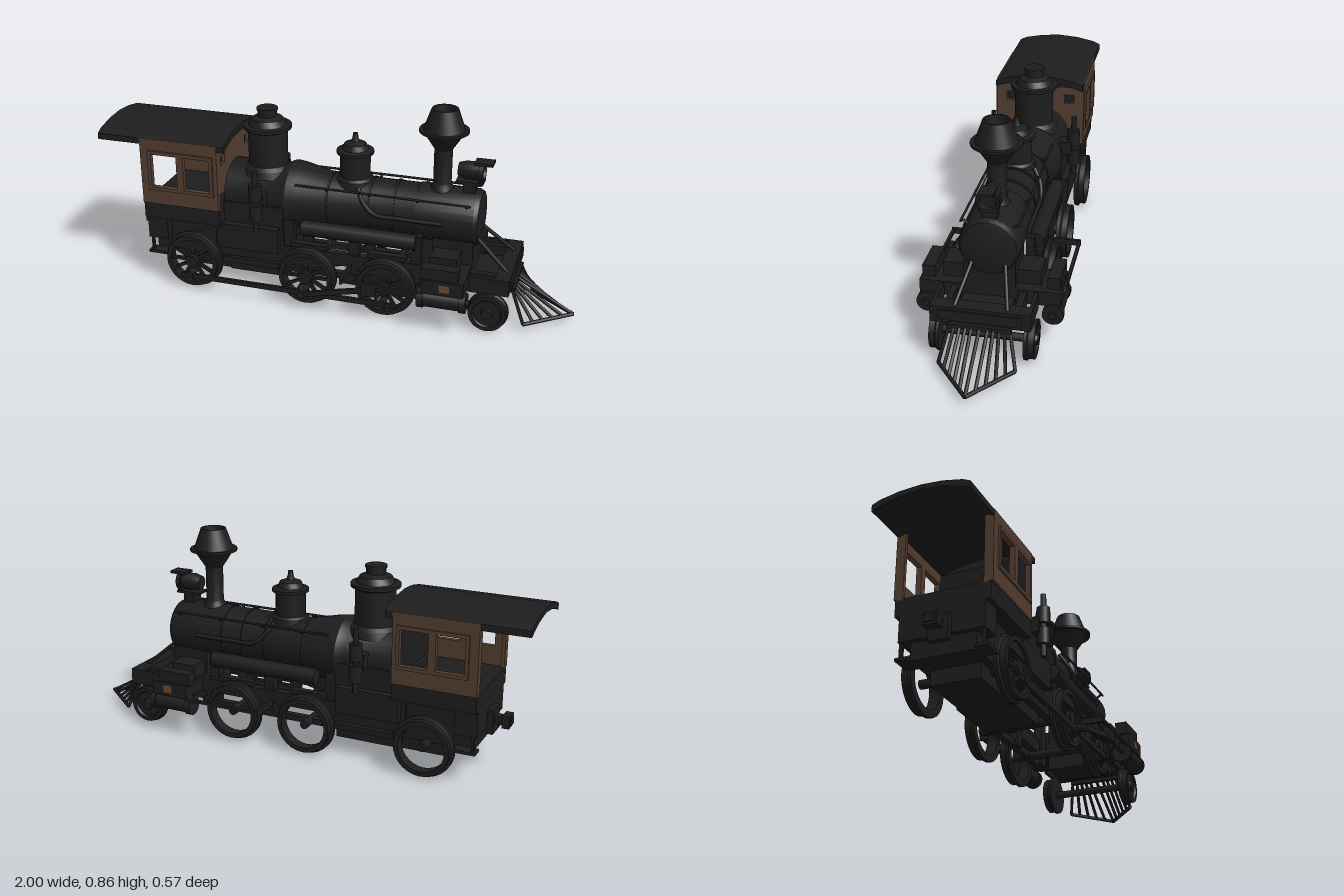
import * as THREE from 'three';
import { toCreasedNormals } from 'three/addons/utils/BufferGeometryUtils.js';

export function createModel() {
  const iron = new THREE.MeshStandardMaterial({ color: 0x1d1d1d });
  iron.name = 'black iron';
  const wood = new THREE.MeshStandardMaterial({ color: 0x523d30 });
  wood.name = 'brown wood';
  const brass = new THREE.MeshStandardMaterial({ color: 0x6a472e });
  brass.name = 'dull brass';
  const model = new THREE.Group();
  model.name = 'steamLocomotive';
  const V = (x, y, z) => new THREE.Vector3(x, y, z);

  function add(name, geo, x = 0, y = 0, z = 0, mat = iron) {
    const m = new THREE.Mesh(geo, mat);
    m.name = name;
    m.position.set(x, y, z);
    model.add(m);
    return m;
  }
  // box given by its lower and upper limits
  const box = (name, x0, x1, y0, y1, z0, z1, mat) =>
    add(name, new THREE.BoxGeometry(x1 - x0, y1 - y0, Math.abs(z1 - z0)), (x0 + x1) / 2, (y0 + y1) / 2, (z0 + z1) / 2, mat);
  // round bar between two points
  function rod(name, a, b, r, seg = 8) {
    const d = b.clone().sub(a);
    const m = add(name, new THREE.CylinderGeometry(r, r, d.length(), seg));
    m.position.copy(a).addScaledVector(d, 0.5);
    m.quaternion.setFromUnitVectors(V(0, 1, 0), d.normalize());
  }
  // turned profile of [radius, height] points around y
  const turned = (pts, seg = 24) => toCreasedNormals(
    new THREE.LatheGeometry(pts.map(p => new THREE.Vector2(p[0], p[1])), seg), 0.5);
  // flat beam between two points in a plane of constant z
  function beam(name, x0, y0, x1, y1, z, h, d) {
    const m = add(name, new THREE.BoxGeometry(Math.hypot(x1 - x0, y1 - y0), h, d), (x0 + x1) / 2, (y0 + y1) / 2, z);
    m.rotation.z = Math.atan2(y1 - y0, x1 - x0);
  }
  const rectHole = (x0, x1, y0, y1) =>
    new THREE.Path([[x0, y0], [x0, y1], [x1, y1], [x1, y0]].map(p => new THREE.Vector2(...p)));
  const polygon = pts => new THREE.Shape(pts.map(p => new THREE.Vector2(...p)));
  const extrude = (shape, depth) => new THREE.ExtrudeGeometry(shape, { depth, bevelEnabled: false });

  // boiler, bands and smokebox door
  add('boiler', turned([[0, -0.48], [0.13, -0.48], [0.13, -0.24], [0.147, -0.2], [0.142, -0.16], [0.113, -0.03],
    [0.113, 0.34], [0.117, 0.34], [0.117, 0.58], [0.108, 0.597], [0.1, 0.6], [0, 0.604]], 28).rotateZ(-Math.PI / 2), 0, 0.41);
  for (const x of [-0.03, 0.145, 0.25, 0.35])
    add('boilerBand', new THREE.CylinderGeometry(0.117, 0.117, 0.012, 28).rotateZ(Math.PI / 2), x, 0.41);

  // chimney and domes
  add('chimney', turned([[0.055, 0.5], [0.045, 0.53], [0.037, 0.545], [0.037, 0.69], [0.06, 0.725], [0.083, 0.762], [0.1, 0.762],
    [0.1, 0.772], [0.084, 0.772], [0.053, 0.858], [0.045, 0.858], [0.04, 0.8], [0, 0.8]]), 0.43);
  add('steamDome', turned([[0.11, 0.5], [0.1, 0.53], [0.083, 0.545], [0.083, 0.69], [0.101, 0.698], [0.101, 0.712], [0.08, 0.715],
    [0.065, 0.74], [0.04, 0.75], [0.04, 0.775], [0.044, 0.775], [0.044, 0.785], [0, 0.785]]), -0.315);
  add('sandDome', turned([[0.08, 0.49], [0.075, 0.52], [0.063, 0.53], [0.063, 0.625], [0.077, 0.63], [0.077, 0.642], [0.055, 0.648],
    [0.045, 0.67], [0.018, 0.68], [0.012, 0.695], [0.01, 0.715], [0, 0.718]]), 0.065);

  // headlight
  add('headlight', turned([[0, 0], [0.028, 0], [0.037, 0.03], [0.037, 0.085], [0.045, 0.085], [0.045, 0.105],
    [0.036, 0.105], [0.032, 0.09], [0, 0.085]], 20).rotateZ(-Math.PI / 2), 0.495, 0.61);
  box('headlightVisor', 0.56, 0.635, 0.643, 0.654, -0.03, 0.03);
  box('headlightShelf', 0.49, 0.6, 0.562, 0.572, -0.035, 0.035);
  box('headlightBracket', 0.52, 0.57, 0.5, 0.565, -0.03, 0.03);

  // cab walls
  const side = polygon([[-0.81, 0.375], [-0.467, 0.375], [-0.467, 0.665], [-0.81, 0.665]]);
  const frame = polygon([[-0.775, 0.44], [-0.485, 0.44], [-0.485, 0.615], [-0.775, 0.615]]);
  for (const s of [side, frame])
    s.holes.push(rectHole(-0.76, -0.645, 0.455, 0.6), rectHole(-0.615, -0.5, 0.455, 0.6));
  const front = polygon([[-0.182, 0.445], [0.182, 0.445], [0.182, 0.64], [-0.182, 0.64]]);
  front.holes.push(rectHole(0.11, 0.152, 0.565, 0.605), rectHole(-0.152, -0.11, 0.565, 0.605));
  add('cabFrontWall', extrude(front, 0.015).rotateY(Math.PI / 2), -0.482, 0, 0, wood);
  box('cabFrontSkirt', -0.482, -0.467, 0.37, 0.445, -0.182, 0.182);
  box('cabFrontLining', -0.492, -0.482, 0.37, 0.64, -0.182, 0.182);
  for (const s of [1, -1]) {
    add('cabSideWall', extrude(side, 0.015), 0, 0, s > 0 ? 0.182 : -0.197, wood);
    add('cabWindowFrame', extrude(frame, 0.008), 0, 0, s > 0 ? 0.197 : -0.205, wood);
    box('cabRearPost', -0.81, -0.795, 0.37, 0.65, s * 0.16, s * 0.182, wood);
  }

  // arched roof with a long rear overhang, closed by a gable at the front
  const arch = polygon([[-0.195, 0.638], [-0.1, 0.668], [0, 0.68], [0.1, 0.668], [0.195, 0.638],
    [0.195, 0.664], [0.165, 0.678], [0.085, 0.694], [0, 0.7], [-0.085, 0.694], [-0.165, 0.678], [-0.195, 0.664]]);
  add('cabRoof', extrude(arch, 0.565).rotateY(Math.PI / 2), -1);
  const gable = polygon([[-0.182, 0.64], [0.182, 0.64], [0.165, 0.668], [0, 0.69], [-0.165, 0.668]]);
  add('cabGable', extrude(gable, 0.02).rotateY(Math.PI / 2), -0.486);

  // cab floor, rear frame and coupler
  box('cabFloor', -0.81, -0.467, 0.305, 0.375, -0.19, 0.19);
  box('rearFrame', -0.79, -0.45, 0.13, 0.31, -0.13, 0.13);
  box('rearLowerFrame', -0.69, -0.45, 0.07, 0.14, -0.1, 0.1);
  box('rearBeam', -0.81, -0.72, 0.2, 0.31, -0.17, 0.17);
  box('couplerPlate', -0.835, -0.81, 0.17, 0.27, -0.04, 0.04);
  box('coupler', -0.9, -0.83, 0.21, 0.24, -0.02, 0.02);
  box('couplerHead', -0.895, -0.865, 0.2, 0.25, -0.03, 0.03);

  // firebox and ash pan
  box('firebox', -0.51, -0.205, 0.15, 0.4, -0.14, 0.14);
  box('fireboxSideTank', -0.49, -0.22, 0.2, 0.31, -0.17, 0.17);
  box('ashPan', -0.46, -0.2, 0.07, 0.2, -0.11, 0.11);

  // cylinder saddle and pilot deck
  box('cylinderSaddle', 0.42, 0.585, 0.12, 0.34, -0.1, 0.1);
  box('saddleBeam', 0.42, 0.585, 0.18, 0.24, -0.274, 0.274);
  box('pilotBeam', 0.69, 0.75, 0.17, 0.237, -0.19, 0.19);
  box('pilotBeamPlate', 0.75, 0.757, 0.185, 0.225, -0.157, 0.157);
  box('pilotDeck', 0.58, 0.7, 0.16, 0.2, -0.1, 0.1);

  // wheels
  const tyre = turned([[0.096, 0.16], [0.127, 0.16], [0.127, 0.175], [0.115, 0.18], [0.115, 0.205], [0.096, 0.205], [0.096, 0.16]], 28)
    .rotateX(Math.PI / 2);
  const pilotWheel = turned([[0, 0.16], [0.083, 0.16], [0.083, 0.172], [0.076, 0.177], [0.076, 0.2], [0.06, 0.2], [0.055, 0.192],
    [0.025, 0.192], [0.022, 0.205], [0, 0.205]], 24).rotateX(Math.PI / 2);
  const weight = extrude(new THREE.Shape().absarc(0, 0, 0.1, 0.55, Math.PI - 0.55), 0.02);
  const wheelY = 0.128;
  for (const x of [-0.6, -0.09, 0.245]) {
    rod('axle', V(x, wheelY, -0.19), V(x, wheelY, 0.2), 0.018, 12);
    for (const s of [1, -1]) add('drivingWheelTyre', tyre, x, wheelY, 0).rotation.y = s > 0 ? 0 : Math.PI;
    rod('wheelHub', V(x, wheelY, 0.165), V(x, wheelY, 0.21), 0.028, 16);
    for (let i = 0; i < 12; i++) {
      const a = (i * Math.PI) / 6;
      beam('wheelSpoke', x + 0.02 * Math.cos(a), wheelY + 0.02 * Math.sin(a),
        x + 0.1 * Math.cos(a), wheelY + 0.1 * Math.sin(a), 0.185, 0.013, 0.014);
    }
    add('wheelCounterweight', weight, x, wheelY, 0.176);
    rod('crankPin', V(x, 0.078, 0.18), V(x, 0.078, x === -0.09 ? 0.265 : 0.235), 0.016, 12);
  }
  for (const s of [1, -1]) add('pilotWheel', pilotWheel, 0.67, 0.085, 0).rotation.y = s > 0 ? 0 : Math.PI;
  rod('pilotAxle', V(0.67, 0.085, -0.17), V(0.67, 0.085, 0.17), 0.016, 12);

  // rods on the left side
  beam('couplingRod', -0.64, 0.072, 0.285, 0.072, 0.225, 0.022, 0.012);
  beam('mainRod', -0.1, 0.078, 0.2, 0.147, 0.255, 0.022, 0.012);
  beam('pistonRod', 0.2, 0.147, 0.42, 0.147, 0.25, 0.014, 0.014);
  box('crosshead', 0.17, 0.23, 0.125, 0.175, 0.243, 0.272);

  for (const s of [1, -1]) {
    // cylinders, valve chests and guides
    add('steamCylinder', turned([[0, 0.4], [0.042, 0.4], [0.042, 0.425], [0.036, 0.425], [0.036, 0.57], [0.042, 0.57],
      [0.042, 0.595], [0.015, 0.595], [0.015, 0.605], [0, 0.605]], 20).rotateZ(-Math.PI / 2), 0, 0.147, s * 0.245);
    box('valveChest', 0.41, 0.56, 0.235, 0.288, s * 0.218, s * 0.268);
    box('chestPipe', 0.43, 0.54, 0.235, 0.3, s * 0.1, s * 0.19);
    box('cylinderPlate', 0.488, 0.53, 0.195, 0.228, s * 0.274, s * 0.277, brass);
    box('slideBar', 0.08, 0.42, 0.172, 0.184, s * 0.262, s * 0.276);
    box('guideYoke', 0.08, 0.092, 0.165, 0.19, s * 0.12, s * 0.276);
    // bar frame and hangers
    box('upperFrameBar', -0.5, 0.6, 0.175, 0.23, s * 0.11, s * 0.14);
    box('lowerFrameBar', -0.5, 0.42, 0.115, 0.14, s * 0.11, s * 0.14);
    for (const x of [-0.18, 0.1, 0.36]) box('frameHanger', x - 0.022, x + 0.022, 0.12, 0.35, s * 0.1, s * 0.135);
    for (const x of [-0.09, 0.245]) box('wheelSpring', x - 0.08, x + 0.08, 0.24, 0.26, s * 0.125, s * 0.155);
    // air tank under the boiler
    rod('airTank', V(-0.12, 0.325, s * 0.135), V(0.36, 0.325, s * 0.135), 0.033, 16);
    // air pump
    rod('pumpLowerCylinder', V(-0.31, 0.35, s * 0.178), V(-0.31, 0.42, s * 0.178), 0.027, 14);
    rod('pumpUpperCylinder', V(-0.31, 0.44, s * 0.178), V(-0.31, 0.51, s * 0.178), 0.027, 14);
    rod('pumpStem', V(-0.31, 0.3, s * 0.178), V(-0.31, 0.57, s * 0.178), 0.012, 10);
    box('pumpBracket', -0.34, -0.28, 0.4, 0.46, s * 0.1, s * 0.17);
    // handrail and its posts
    rod('handrail', V(-0.16, 0.5, s * 0.11), V(0.57, 0.5, s * 0.11), 0.005, 6);
    for (const x of [-0.03, 0.15, 0.35, 0.55]) rod('handrailPost', V(x, 0.48, s * 0.08), V(x, 0.5, s * 0.112), 0.006, 6);
    // side pipe
    const path = new THREE.CatmullRomCurve3([V(0.1, 0.51, s * 0.08), V(0.13, 0.46, s * 0.11), V(0.18, 0.42, s * 0.122),
      V(0.28, 0.415, s * 0.123), V(0.46, 0.415, s * 0.123)]);
    add('sidePipe', new THREE.TubeGeometry(path, 24, 0.009, 8));
    // smokebox braces, pilot frame and steps
    rod('smokeboxBrace', V(0.58, 0.36, s * 0.06), V(0.73, 0.23, s * 0.1), 0.008, 8);
    box('pilotFrameBar', 0.59, 0.7, 0.175, 0.232, s * 0.12, s * 0.145);
    box('pilotFrameRail', 0.59, 0.7, 0.17, 0.237, s * 0.175, s * 0.19);
    box('stepHanger', -0.8, -0.79, 0.13, 0.31, s * 0.155, s * 0.17);
    box('stepTread', -0.81, -0.72, 0.13, 0.142, s * 0.13, s * 0.18);
    // cowcatcher
    rod('cowcatcherFoot', V(0.81, 0.032, s * 0.145), V(0.992, 0.032, 0), 0.008, 8);
    for (let i = 0; i < 5; i++) {
      const t = i / 5;
      rod('cowcatcherBar', V(0.755, 0.165, s * (0.115 - 0.105 * t)), V(0.81 + 0.18 * t, 0.032, s * 0.145 * (1 - t)), 0.007, 6);
    }
  }
  rod('cowcatcherNoseBar', V(0.755, 0.165, 0), V(0.99, 0.032, 0), 0.007, 6);
  box('cowcatcherTop', 0.745, 0.765, 0.155, 0.175, -0.12, 0.12);

  return model;
}
